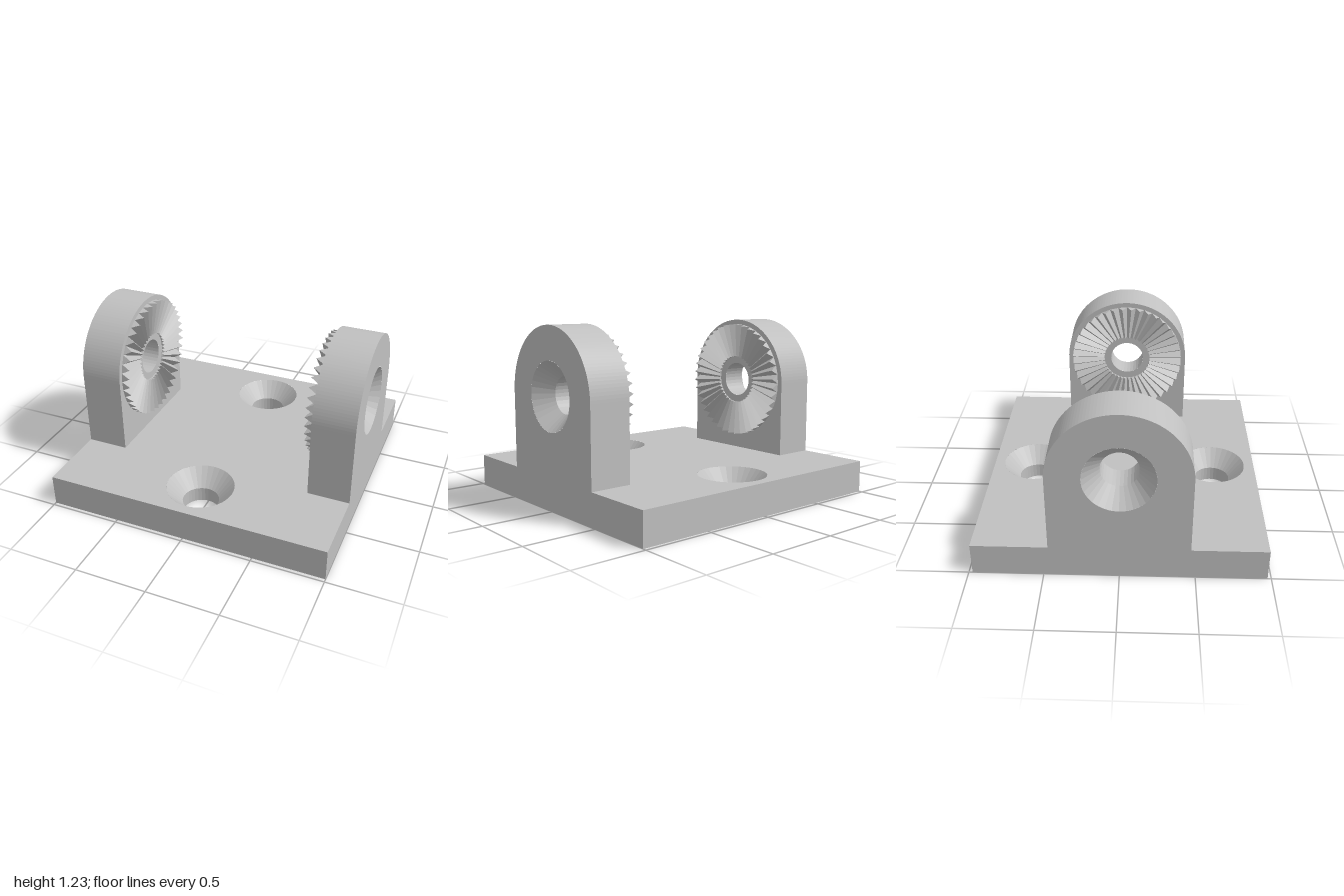
import * as THREE from 'three';
import { mergeGeometries } from 'three/addons/utils/BufferGeometryUtils.js';

const SEG = 32, HOLE_R = 0.127, SINK_R = 0.236, SINK_DEPTH = 0.12;

// Flat-faced geometry from a list of triangle corner points
function fromPoints(points) {
  const g = new THREE.BufferGeometry().setFromPoints(points);
  g.computeVertexNormals();
  return g;
}

// Plate lying in XY from z = 0 to z = t, with holes countersunk on its +z side.
// The outline and hole layout are symmetric in x.
function countersunkPlate(drawOutline, centres, t) {
  const face = (r) => {
    const shape = drawOutline(new THREE.Shape());
    for (const [x, y] of centres) {
      shape.holes.push(new THREE.Path().absarc(x, y, r, 0, Math.PI * 2, true));
    }
    return new THREE.ShapeGeometry(shape, SEG);
  };
  const parts = [face(SINK_R).translate(0, 0, t), face(HOLE_R).rotateY(Math.PI)];

  // Outer wall
  const outline = drawOutline(new THREE.Shape()).getPoints(SEG);
  const wall = [];
  outline.forEach((p, i) => {
    const q = outline[(i + 1) % outline.length];
    if (p.distanceTo(q) < 1e-6) return;
    const at = (v, z) => new THREE.Vector3(v.x, v.y, z);
    wall.push(at(p, 0), at(q, 0), at(q, t), at(p, 0), at(q, t), at(p, t));
  });
  parts.push(fromPoints(wall));

  // Cone and bore of each hole
  const profile = [[SINK_R, t], [HOLE_R, t - SINK_DEPTH], [HOLE_R, 0]]
    .map(([r, z]) => new THREE.Vector2(r, z));
  for (const [x, y] of centres) {
    parts.push(new THREE.LatheGeometry(profile, SEG).rotateX(Math.PI / 2).translate(x, y, 0));
  }

  const flat = parts.map((g) => {
    const n = g.index ? g.toNonIndexed() : g;
    n.deleteAttribute('uv');
    n.computeVertexNormals();
    return n;
  });
  return mergeGeometries(flat);
}

// Ring of radial V-shaped teeth pointing to -z, lower toward the middle
function toothRing(count, inner, outer, height) {
  const pts = [];
  const step = (Math.PI * 2) / count;
  const at = (r, a, z) => new THREE.Vector3(r * Math.cos(a), r * Math.sin(a), z);
  for (let i = 0; i < count; i++) {
    const a0 = i * step, am = a0 + step / 2, a1 = a0 + step;
    const vi0 = at(inner, a0, 0), vo0 = at(outer, a0, 0);
    const vi1 = at(inner, a1, 0), vo1 = at(outer, a1, 0);
    const ri = at(inner, am, -height * inner / outer), ro = at(outer, am, -height);
    pts.push(vi0, ri, ro, vi0, ro, vo0);   // first flank
    pts.push(ri, vi1, vo1, ri, vo1, ro);   // second flank
    pts.push(vo0, ro, vo1, vi0, vi1, ri);  // outer and inner ends
  }
  return fromPoints(pts);
}

export function createModel() {
  const model = new THREE.Group();
  model.name = 'mountingBracket';
  const grey = new THREE.MeshStandardMaterial({ color: 0xc0c0c0 });
  grey.name = 'light grey';

  const W = 1, D = 0.975, BASE_H = 0.225;
  const EAR_R = 0.465, PIVOT_Y = 0.765, EAR_IN = 0.705;

  // Base plate with two screw holes
  const rectangle = (s) => s.moveTo(-W, -D).lineTo(W, -D).lineTo(W, D).lineTo(-W, D);
  const base = new THREE.Mesh(
    countersunkPlate(rectangle, [[0, -0.668], [0, 0.668]], BASE_H).rotateX(-Math.PI / 2), grey);
  base.name = 'basePlate';
  model.add(base);

  // Round-topped ears with a toothed inner face
  const arch = (s) => s.moveTo(-EAR_R, BASE_H - PIVOT_Y).lineTo(EAR_R, BASE_H - PIVOT_Y)
    .lineTo(EAR_R, 0).absarc(0, 0, EAR_R, 0, Math.PI, false);
  const earGeometry = countersunkPlate(arch, [[0, 0]], W - EAR_IN);
  const teethGeometry = toothRing(40, 0.18, 0.43, 0.06);

  for (const [side, sign] of [['left', 1], ['right', -1]]) {
    const ear = new THREE.Group();
    ear.name = side + 'Ear';
    const plate = new THREE.Mesh(earGeometry, grey);
    plate.name = side + 'EarPlate';
    const teeth = new THREE.Mesh(teethGeometry, grey);
    teeth.name = side + 'ToothRing';
    ear.add(plate, teeth);
    ear.rotation.y = sign * Math.PI / 2;
    ear.position.set(sign * EAR_IN, PIVOT_Y, 0);
    model.add(ear);
  }
  return model;
}
